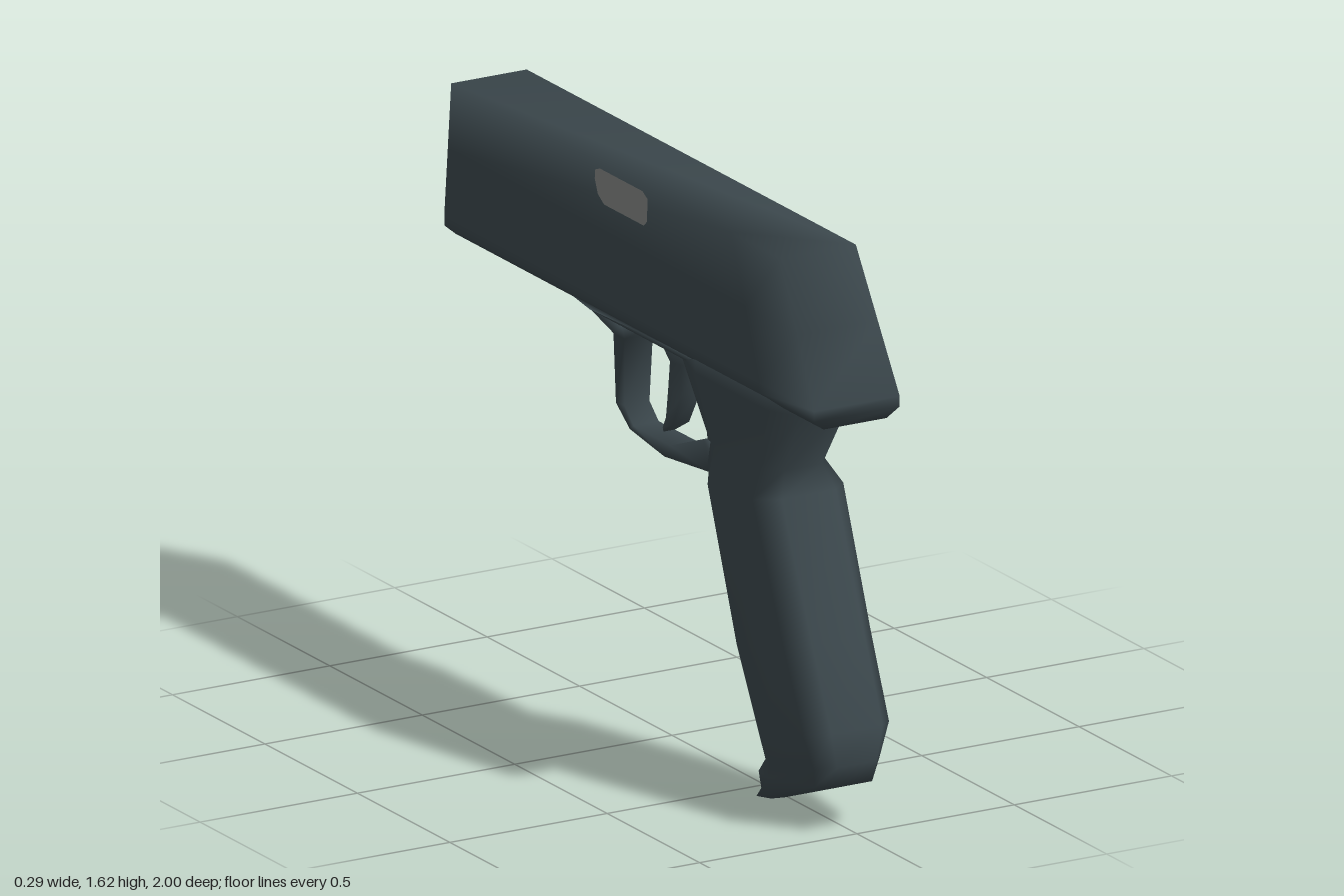
import * as THREE from 'three';

const mat = (name, color, side = THREE.FrontSide) => {
  const m = new THREE.MeshStandardMaterial({ color, side });
  m.name = name;
  return m;
};

// Skin over cross-sections [zBack, yBack, zFront, yFront, halfWidth];
// half is the +x side of the section as [position back to front, width factor]
function loft(sections, half, openFront = false) {
  const ring = [...half, ...half.map(([t, w]) => [t, -w]).reverse()];
  const n = ring.length, pos = [], idx = [];
  for (const [zb, yb, zf, yf, hw] of sections)
    for (const [t, w] of ring) pos.push(w * hw, yb + (yf - yb) * t, zb + (zf - zb) * t);
  for (let s = 0; s < sections.length - 1; s++)
    for (let i = 0; i < n; i++) {
      if (openFront && i === half.length - 1) continue;
      const a = s * n + i, b = s * n + (i + 1) % n;
      idx.push(a, b, b + n, a, b + n, a + n);
    }
  const top = (sections.length - 1) * n;
  for (let i = 1; i < n - 1; i++) {
    idx.push(0, i + 1, i);
    idx.push(top, top + i, top + i + 1);
  }
  const g = new THREE.BufferGeometry();
  g.setAttribute('position', new THREE.Float32BufferAttribute(pos, 3));
  g.setIndex(idx);
  g.computeVertexNormals();
  return g;
}

// Flat shape laid onto a surface: place(u, v) gives the 3D point
function plate(shape, place) {
  const g = new THREE.ShapeGeometry(shape, 24), p = g.attributes.position;
  for (let i = 0; i < p.count; i++) p.setXYZ(i, ...place(p.getX(i), p.getY(i)));
  g.computeVertexNormals();
  return g;
}

const outline = pts => new THREE.Shape(pts.map(p => new THREE.Vector2(...p)));

export function createModel() {
  const group = new THREE.Group();
  const steel = mat('dark steel', 0x3b474c);
  const steelFlat = mat('dark steel face', 0x3b474c, THREE.DoubleSide);
  const grey = mat('bare metal', 0x828583, THREE.DoubleSide);
  const add = (name, geometry, material = steel) => {
    const m = new THREE.Mesh(geometry, material);
    m.name = name;
    group.add(m);
  };
  const box = [[0, 1], [1, 1]];

  // Slide with sloped rear
  add('slide', loft([
    [0.99, 1.18, -1, 1.18, 0.1],
    [1, 1.21, -1, 1.21, 0.136],
    [1, 1.24, -1, 1.24, 0.136],
    [0.895, 1.43, -0.995, 1.43, 0.128],
    [0.79, 1.62, -0.99, 1.62, 0.12],
  ], [[0, 1], [0.15, 1], [1, 1]], true));

  // Muzzle face and barrel ring
  const muzzleZ = y => -1 + (y - 1.18) / 44;
  const face = [[0.1, 1.18], [0.136, 1.21], [0.12, 1.62]];
  add('muzzleFace', plate(
    outline([...face, ...face.map(([x, y]) => [-x, y]).reverse()]),
    (x, y) => [x, y, muzzleZ(y)]), steelFlat);
  const ring = new THREE.Shape().absarc(0, 1.45, 0.112, 0, Math.PI * 2);
  ring.holes.push(new THREE.Path().absarc(0, 1.45, 0.075, 0, Math.PI * 2, true));
  add('barrelRing', plate(ring, (x, y) => [x, y, muzzleZ(y) - 0.003]), grey);

  // Side ports, mirrored on the sloping slide walls
  const port = outline([[0.08, 1.525], [0.065, 1.51], [-0.15, 1.51], [-0.185, 1.53],
    [-0.205, 1.57], [-0.205, 1.595], [-0.18, 1.605], [0.05, 1.605], [0.08, 1.59]]);
  for (const s of [1, -1])
    add(s > 0 ? 'leftPort' : 'rightPort', plate(port,
      (z, y) => [s * (0.123 + (1.62 - y) * 0.042), y, z]), grey);

  // Grip, narrow neck and frame, from the heel upward
  add('grip', loft([
    [0.69, 0.025, 0.555, 0, 0.08],
    [0.99, 0.14, 0.545, 0.06, 0.09],
    [1, 0.2, 0.595, 0.11, 0.105],
    [1, 0.3, 0.585, 0.2, 0.136],
    [0.9, 0.53, 0.465, 0.42, 0.139],
    [0.74, 0.905, 0.32, 0.86, 0.144],
    [0.71, 0.975, 0.275, 0.96, 0.1],
    [0.82, 1.165, 0.15, 1.16, 0.125],
    [0.82, 1.25, 0.15, 1.25, 0.125],
  ], [[0, 0.6], [0.14, 1], [0.72, 1], [1, 0.5]]));

  // Rail under the slide
  add('rail', loft([
    [0.3, 1.158, -0.3, 1.158, 0.085],
    [0.3, 1.2, -0.38, 1.2, 0.12],
  ], box));

  // Trigger guard, from the rail round to the grip
  add('triggerGuard', loft([
    [-0.35, 1.18, -0.12, 1.165, 0.09],
    [-0.24, 1.1, -0.18, 1.1, 0.045],
    [-0.235, 0.9, -0.19, 0.905, 0.04],
    [-0.16, 0.845, -0.14, 0.86, 0.04],
    [0.03, 0.82, 0.06, 0.86, 0.042],
    [0.32, 0.86, 0.28, 0.945, 0.065],
    [0.4, 0.88, 0.36, 0.96, 0.08],
  ], box));

  // Curved trigger, from the tip upward
  add('trigger', loft([
    [-0.015, 0.875, -0.02, 0.885, 0.018],
    [0.05, 0.915, 0.01, 0.925, 0.025],
    [0.1, 1.01, 0.03, 1.01, 0.03],
    [0.1, 1.1, 0.04, 1.095, 0.03],
    [0.13, 1.165, -0.02, 1.165, 0.04],
  ], box));

  return group;
}
